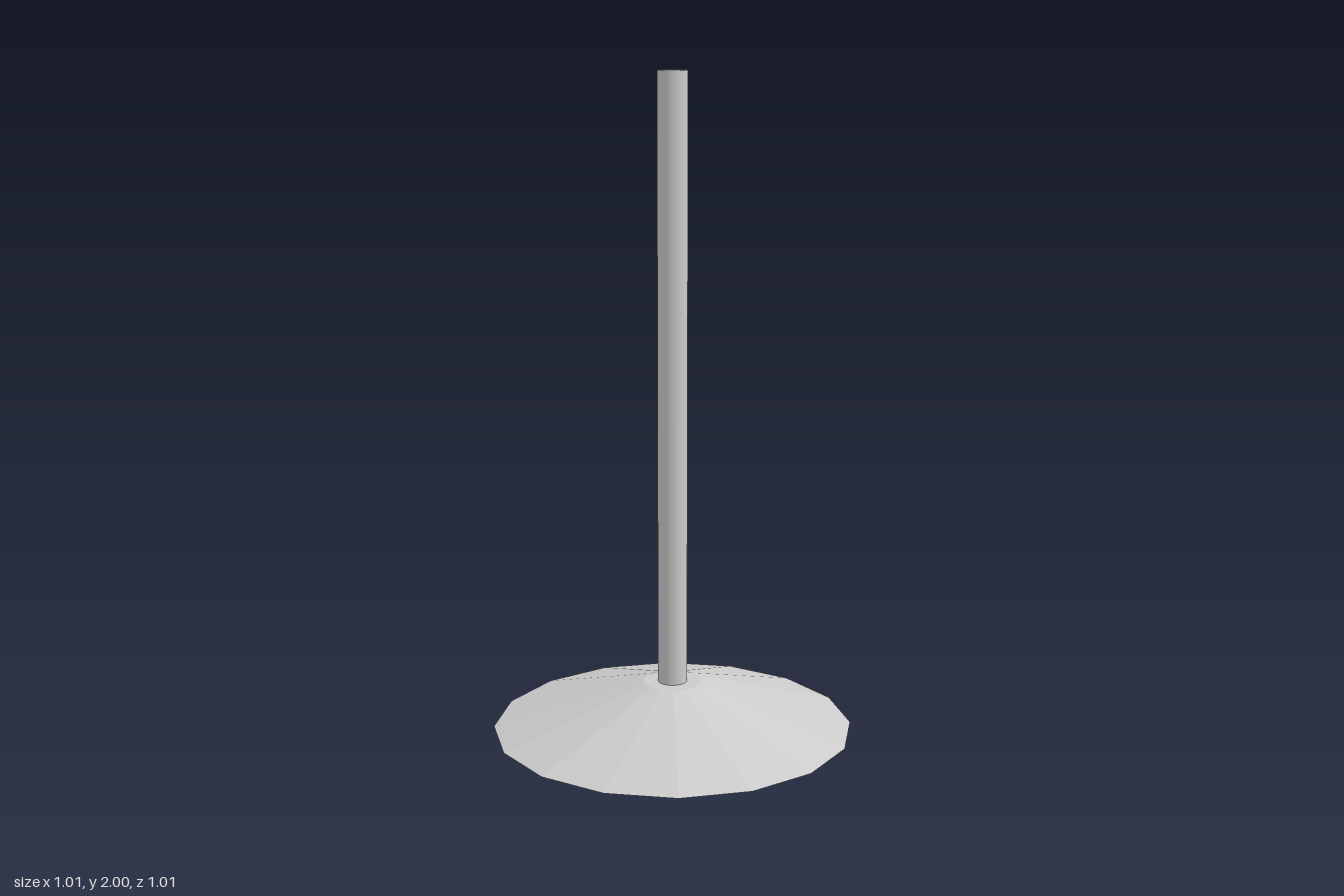
import * as THREE from 'three';

const material = new THREE.MeshStandardMaterial({
  color: 0xcccccc, flatShading: true, side: THREE.DoubleSide,
});

// Revolves [radius, height] points around the y axis
function lathe(name, points, sides) {
  const profile = points.map(([r, y]) => new THREE.Vector2(r, y));
  const mesh = new THREE.Mesh(new THREE.LatheGeometry(profile, sides), material);
  mesh.name = name;
  return mesh;
}

export function createModel() {
  const group = new THREE.Group();
  group.name = 'pendantLamp';

  // Long round rod rising from the shade
  const rod = new THREE.Mesh(new THREE.CylinderGeometry(0.041, 0.041, 1.7, 32), material);
  rod.name = 'rod';
  rod.position.y = 1.15;
  group.add(rod);

  // Shallow 16-sided shade: inner ceiling, inner slope, flat rim, outer slope, top
  group.add(lathe('shade', [
    [0, 0.302], [0.08, 0.302], [0.48, 0.18], [0.505, 0.18], [0.082, 0.312], [0, 0.312],
  ], 16));

  // Round bulb that narrows through a curved neck into the shade
  const bulb = [];
  const radius = 0.123, centre = 0.127;
  for (let i = 0; i <= 13; i++) {
    const a = (i / 16) * Math.PI;
    bulb.push([radius * Math.sin(a), Math.max(0, centre - radius * Math.cos(a))]);
  }
  bulb.push([0.058, 0.244], [0.053, 0.262], [0.05, 0.282], [0.047, 0.302]);
  group.add(lathe('bulb', bulb, 32));

  return group;
}
